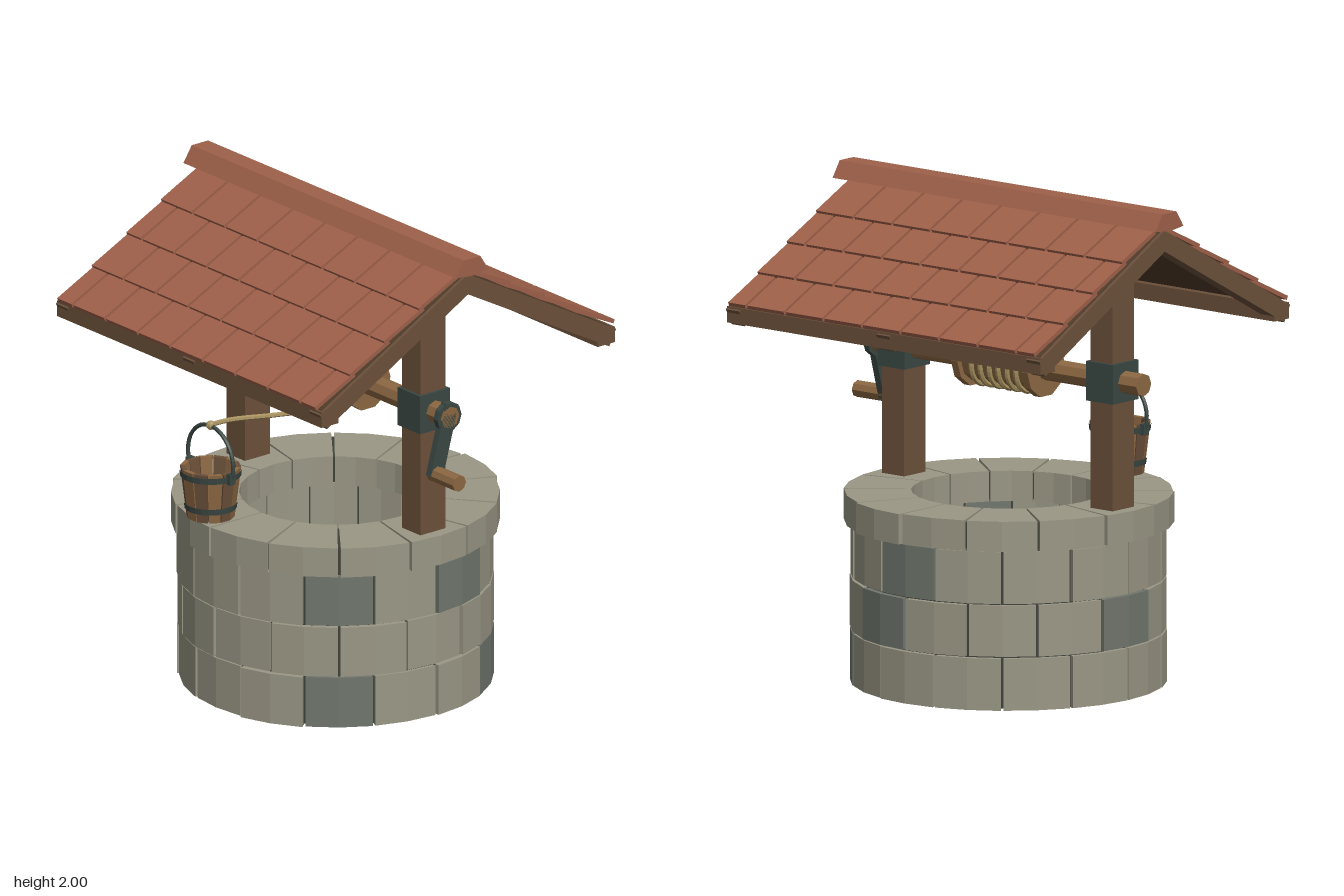
import * as THREE from 'three';
import { mergeGeometries } from 'three/addons/utils/BufferGeometryUtils.js';

const mat = (name, color, side = THREE.FrontSide) => {
  const m = new THREE.MeshStandardMaterial({ color, flatShading: true, side });
  m.name = name;
  return m;
};

// ring sector between two angles (0 = front, growing towards +x), standing on y = 0
function sector(r0, r1, a0, a1, h, segs = 2) {
  const pts = [];
  const put = (r, a) => pts.push(new THREE.Vector2(r * Math.sin(a), -r * Math.cos(a)));
  for (let i = 0; i <= segs; i++) put(r1, a0 + (a1 - a0) * i / segs);
  for (let i = segs; i >= 0; i--) put(r0, a0 + (a1 - a0) * i / segs);
  const g = new THREE.ExtrudeGeometry(new THREE.Shape(pts), { depth: h, bevelEnabled: false });
  return g.rotateX(-Math.PI / 2);
}

export function createModel() {
  const M = {
    stone: mat('pale stone', 0x9a9785),
    darkStone: mat('dark stone', 0x70766d),
    mortar: mat('mortar', 0x3f423b, THREE.DoubleSide),
    wood: mat('brown wood', 0x6b503a),
    lightWood: mat('light wood', 0x8c6742),
    deck: mat('dark boards', 0x4f3b2a),
    tile: mat('clay tile', 0x9e6049),
    iron: mat('iron', 0x3a4743),
    rope: mat('rope', 0xa8925f),
  };
  const root = new THREE.Group();
  root.name = 'well';
  const add = (parent, name, geo, material, x = 0, y = 0, z = 0) => {
    const m = new THREE.Mesh(geo, material);
    m.name = name;
    m.position.set(x, y, z);
    parent.add(m);
    return m;
  };
  const box = (w, h, d) => new THREE.BoxGeometry(w, h, d);
  const rod = (r, len, sides) => new THREE.CylinderGeometry(r, r, len, sides).rotateZ(Math.PI / 2);
  let seed = 7;
  const rand = () => (seed = (seed * 16807) % 2147483647) / 2147483647;

  // stone wall: three staggered courses and a wider cap
  const N = 14, step = Math.PI * 2 / N;
  const courses = [
    { name: 'lowerCourse', y: 0, h: 0.21, r0: 0.43, r1: 0.627, off: -0.5, dark: [2, 5] },
    { name: 'middleCourse', y: 0.217, h: 0.207, r0: 0.43, r1: 0.627, off: 0, dark: [6, 10] },
    { name: 'upperCourse', y: 0.431, h: 0.21, r0: 0.43, r1: 0.627, off: -0.5, dark: [2, 4, 7] },
    { name: 'capCourse', y: 0.647, h: 0.123, r0: 0.385, r1: 0.655, off: 0, dark: [] },
  ];
  for (const c of courses) {
    const pale = [], dark = [];
    for (let i = 0; i < N; i++) {
      const a = (i + c.off) * step, gap = 0.009;
      const g = sector(c.r0, c.r1 + (rand() - 0.5) * 0.014, a + gap, a + step - gap, c.h);
      (c.dark.includes(i) ? dark : pale).push(g);
    }
    add(root, c.name, mergeGeometries(pale), M.stone, 0, c.y);
    if (dark.length) add(root, c.name + 'DarkStones', mergeGeometries(dark), M.darkStone, 0, c.y);
  }
  const ring = (r0, r1, y0, y1) => new THREE.LatheGeometry(
    [[r0, y0], [r1, y0], [r1, y1], [r0, y1], [r0, y0]].map(p => new THREE.Vector2(...p)), 28);
  add(root, 'wallMortar', ring(0.442, 0.608, 0.006, 0.66), M.mortar);
  add(root, 'capMortar', ring(0.4, 0.635, 0.655, 0.76), M.mortar);
  add(root, 'wellFloor', new THREE.CylinderGeometry(0.445, 0.445, 0.03, 28), M.mortar, 0, 0.02);

  // posts, iron bearings and braces
  for (const s of [-1, 1]) {
    add(root, 'post', box(0.115, 1.14, 0.13), M.wood, s * 0.545, 1.27);
    add(root, 'bearing', box(0.14, 0.16, 0.155), M.iron, s * 0.545, 1.285);
    const brace = add(root, 'brace', box(0.07, 0.32, 0.07), M.lightWood, s * 0.41, 1.71);
    brace.rotation.z = s * Math.PI / 4;
  }
  add(root, 'ridgeBeam', box(1.36, 0.06, 0.1), M.lightWood, 0, 1.832);

  // roof: each slope is built lying flat, z running down the slope
  const pitch = 0.498;
  for (const side of [0, Math.PI]) {
    const half = new THREE.Group();
    half.name = side ? 'backRoof' : 'frontRoof';
    half.rotation.y = side;
    root.add(half);
    const slope = new THREE.Group();
    slope.name = 'roofSlope';
    slope.position.y = 1.925;
    slope.rotation.x = pitch;
    half.add(slope);
    add(slope, 'roofBoards', box(1.61, 0.022, 0.85), M.deck, 0, -0.009, 0.425);
    for (const x of [-0.785, 0, 0.785])
      add(slope, 'rafter', box(0.07, 0.075, 0.87), M.wood, x, -0.0375, 0.435);
    const tiles = [], w = 0.2015;
    for (let row = 0; row < 4; row++) {
      const shift = row % 2 ? 0 : w / 2;
      for (let k = -5; k < 5; k++) {
        const x0 = Math.max(k * w + shift, -4 * w), x1 = Math.min((k + 1) * w + shift, 4 * w);
        if (x1 - x0 < 0.02) continue;
        const g = box(x1 - x0 - 0.013, 0.017, 0.225);
        g.rotateX(-0.055).translate((x0 + x1) / 2, 0.018, 0.752 - row * 0.203);
        tiles.push(g);
      }
    }
    add(slope, 'roofTiles', mergeGeometries(tiles), M.tile);
    add(half, 'eaveBeam', box(1.64, 0.066, 0.088), M.wood, 0, 1.488, 0.713);
  }
  const capShape = new THREE.Shape(
    [[-0.085, 1.935], [-0.042, 2], [0.042, 2], [0.085, 1.935], [0, 1.925]].map(p => new THREE.Vector2(...p)));
  add(root, 'ridgeCap', new THREE.ExtrudeGeometry(capShape, { depth: 1.69, bevelEnabled: false })
    .rotateY(Math.PI / 2), M.tile, -0.845);

  // windlass
  const axleY = 1.285;
  add(root, 'axle', rod(0.046, 1.42, 8), M.lightWood, 0, axleY);
  add(root, 'drum', rod(0.092, 0.36, 10), M.lightWood, 0, axleY);
  for (const s of [-1, 1]) add(root, 'drumFlange', rod(0.115, 0.034, 10), M.lightWood, s * 0.183, axleY);

  // crank with a handle
  add(root, 'crankHub', rod(0.062, 0.025, 10), M.iron, 0.692, axleY);
  const arm = add(root, 'crankArm', box(0.03, 0.3, 0.066), M.iron, 0.695, 1.195, 0.03);
  arm.rotation.x = -0.27;
  add(root, 'crankHandle', rod(0.034, 0.165, 8), M.lightWood, 0.7625, 1.06, 0.066);

  // rope wound on the drum, then led over to the bucket
  const coil = [];
  const turns = 6, perTurn = 14;
  for (let i = 0; i <= turns * perTurn; i++) {
    const a = i / perTurn * Math.PI * 2, x = -0.15 + 0.28 * i / (turns * perTurn);
    coil.push(new THREE.Vector3(x, axleY + 0.1 * Math.sin(a), 0.1 * Math.cos(a)));
  }
  const tube = (pts, n, r, sides) => new THREE.TubeGeometry(new THREE.CatmullRomCurve3(pts), n, r, sides);
  add(root, 'ropeCoil', tube(coil, 200, 0.011, 6), M.rope);
  const bx = -0.105, bz = 0.56;
  const lead = [[0.13, 1.285, 0.1], [0.135, 1.225, 0.11], [0.11, 1.193, 0.16], [0.03, 1.18, 0.33],
    [-0.06, 1.172, 0.49], [bx, 1.155, bz]].map(p => new THREE.Vector3(...p));
  add(root, 'ropeLead', tube(lead, 36, 0.01, 6), M.rope);
  add(root, 'ropeKnot', new THREE.SphereGeometry(0.019, 8, 6), M.rope, bx, 1.152, bz);

  // bucket of alternating staves
  const bucket = new THREE.Group();
  bucket.name = 'bucket';
  bucket.position.set(bx, 0.77, bz);
  root.add(bucket);
  const flare = (g, h) => {
    const p = g.attributes.position;
    for (let i = 0; i < p.count; i++) {
      const k = 1 + 0.27 * p.getY(i) / h;
      p.setX(i, p.getX(i) * k);
      p.setZ(i, p.getZ(i) * k);
    }
    return g;
  };
  const staves = [[], []];
  for (let i = 0; i < 12; i++) {
    const a = (i - 0.5) * Math.PI / 6;
    staves[i % 2].push(flare(sector(0.08, 0.096, a + 0.02, a + Math.PI / 6 - 0.02, 0.21, 1), 0.21));
  }
  add(bucket, 'lightStaves', mergeGeometries(staves[0]), M.lightWood);
  add(bucket, 'darkStaves', mergeGeometries(staves[1]), M.wood);
  add(bucket, 'bucketBottom', new THREE.CylinderGeometry(0.085, 0.085, 0.02, 12), M.deck, 0, 0.015);
  const band = (r0, r1, y) => add(bucket, 'bucketHoop',
    new THREE.CylinderGeometry(r1, r0, 0.026, 24, 1, true), M.iron, 0, y);
  band(0.104, 0.108, 0.05);
  band(0.122, 0.125, 0.187);
  for (const s of [-1, 1]) add(bucket, 'handleLug', box(0.022, 0.045, 0.03), M.iron, s * 0.127, 0.19);
  const bail = add(bucket, 'bucketHandle',
    new THREE.TorusGeometry(0.14, 0.0085, 6, 28, Math.PI + 0.72), M.iron, 0, 0.24);
  bail.rotation.z = -0.36;
  return root;
}
